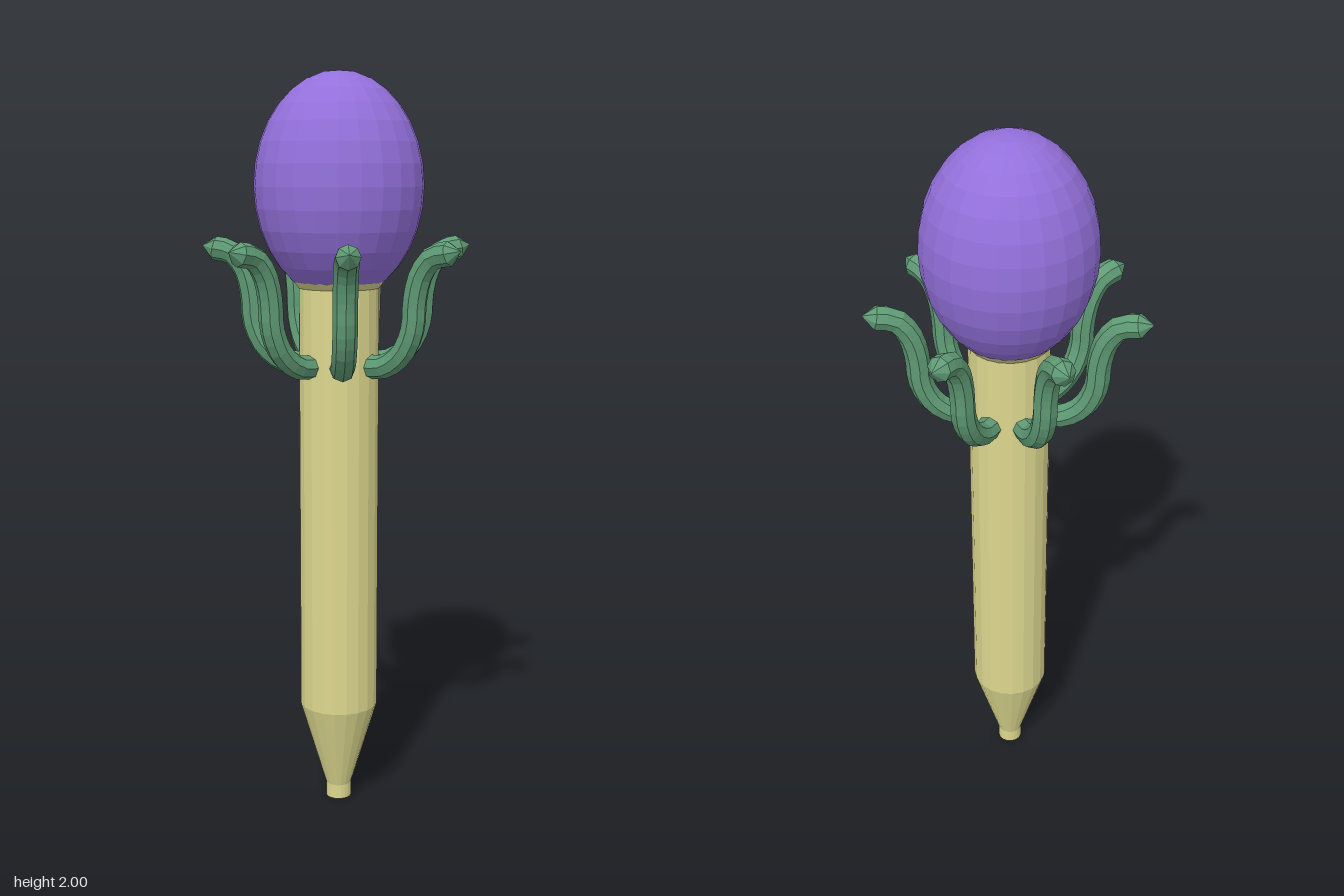
import * as THREE from 'three';

const AXIS_Z = 0.017;

export function createModel() {
  const model = new THREE.Group();
  model.name = 'budStaff';

  const mat = (name, color) => {
    const m = new THREE.MeshStandardMaterial({ color, flatShading: true });
    m.name = name;
    return m;
  };
  const purple = mat('purple', 0x9370db);
  const straw = mat('straw', 0xddd88f);
  const green = mat('green', 0x5f9b75);

  const add = (parent, name, geometry, material) => {
    const mesh = new THREE.Mesh(geometry, material);
    mesh.name = name;
    parent.add(mesh);
    return mesh;
  };

  const body = new THREE.Group();
  body.name = 'body';
  body.position.z = AXIS_Z;
  model.add(body);

  // Shaft with tapered foot and flared collar, turned as one profile
  const profile = [
    [0, 0], [0.035, 0], [0.035, 0.04], [0.107, 0.28],
    [0.107, 1.44], [0.148, 1.49], [0, 1.49],
  ].map(([r, y]) => new THREE.Vector2(r, y));
  add(body, 'shaft', new THREE.LatheGeometry(profile, 20), straw);

  // Egg-shaped bud on top
  const bud = new THREE.SphereGeometry(0.224, 24, 16);
  bud.scale(1, 0.295 / 0.224, 1);
  add(body, 'bud', bud, purple).position.y = 1.705;

  // Seven S-curved tendrils around the shaft, the first pointing back
  const path = new THREE.CatmullRomCurve3([
    [0.085, 1.237], [0.145, 1.241], [0.2, 1.28], [0.231, 1.345],
    [0.237, 1.42], [0.254, 1.485], [0.289, 1.53], [0.337, 1.541],
  ].map(([r, y]) => new THREE.Vector3(0, y, -r)));
  const tube = new THREE.TubeGeometry(path, 16, 0.032, 8, false);
  const up = new THREE.Vector3(0, 1, 0);
  const endDir = path.getTangent(1);
  const tip = new THREE.ConeGeometry(0.032, 0.034, 8);
  tip.translate(0, 0.017, 0);
  tip.applyQuaternion(new THREE.Quaternion().setFromUnitVectors(up, endDir));
  const end = path.getPoint(1);
  tip.translate(end.x, end.y, end.z);

  for (let i = 0; i < 7; i++) {
    const tendril = new THREE.Group();
    tendril.name = 'tendril' + (i + 1);
    tendril.rotation.y = (i * Math.PI * 2) / 7;
    add(tendril, 'tendrilStem', tube, green);
    add(tendril, 'tendrilTip', tip, green);
    body.add(tendril);
  }

  return model;
}
